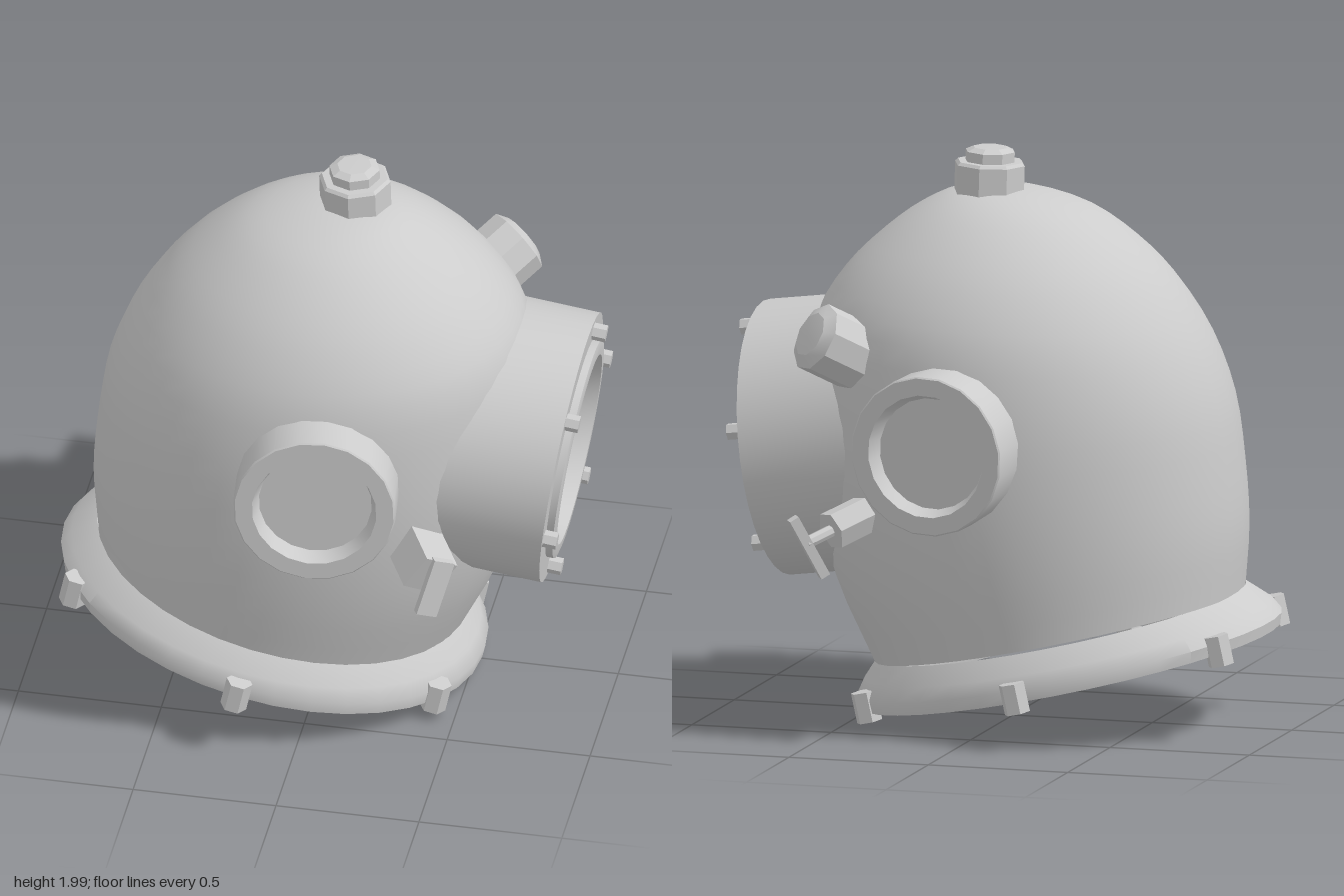
import * as THREE from 'three';
import { toCreasedNormals } from 'three/addons/utils/BufferGeometryUtils.js';

const metal = new THREE.MeshStandardMaterial({ color: 0xcccccc, side: THREE.DoubleSide });
metal.name = 'grey metal';

const UP = new THREE.Vector3(0, 1, 0);
const v3 = (x, y, z) => new THREE.Vector3(x, y, z);

function addMesh(parent, name, geometry, crease = 0.6) {
  const mesh = new THREE.Mesh(toCreasedNormals(geometry, crease), metal);
  mesh.name = name;
  parent.add(mesh);
  return mesh;
}

// Group whose local +y points along a given axis
function axisGroup(parent, name, pos, axis) {
  const g = new THREE.Group();
  g.name = name;
  g.position.copy(pos);
  g.quaternion.setFromUnitVectors(UP, axis.clone().normalize());
  parent.add(g);
  return g;
}

const lathe = (pts, n) => new THREE.LatheGeometry(pts.map(p => new THREE.Vector2(...p)), n);

// Section: [left x, left y, right x, right y, half depth]
function sectionPoint([xl, yl, xr, yr, w], t) {
  const c = Math.cos(t), z = w * Math.sin(t);
  return v3((xl + xr) / 2 + c * (xr - xl) / 2, (yl + yr) / 2 + c * (yr - yl) / 2, z);
}

// Skin through elliptical sections
function loft(sections, n) {
  const pos = [], index = [];
  for (const s of sections)
    for (let i = 0; i < n; i++) pos.push(...sectionPoint(s, (i / n) * Math.PI * 2).toArray());
  for (let j = 0; j < sections.length - 1; j++)
    for (let i = 0; i < n; i++) {
      const a = j * n + i, b = j * n + (i + 1) % n;
      index.push(a, a + n, b, b, a + n, b + n);
    }
  const g = new THREE.BufferGeometry();
  g.setAttribute('position', new THREE.Float32BufferAttribute(pos, 3));
  g.setIndex(index);
  return g;
}

// Smooth in-between sections
function refine(sections, steps) {
  const a = new THREE.CatmullRomCurve3(sections.map(s => v3(s[0], s[1], s[4])), false, 'centripetal');
  const b = new THREE.CatmullRomCurve3(sections.map(s => v3(s[2], s[3], 0)), false, 'centripetal');
  return Array.from({ length: steps + 1 }, (_, i) => {
    const p = a.getPoint(i / steps), q = b.getPoint(i / steps);
    return [p.x, p.y, q.x, q.y, p.z];
  });
}

export function createModel() {
  const model = new THREE.Group();
  model.name = 'divingHelmet';

  // Dome shell, leaning forward at the neck
  const dome = [
    [-0.81, 0.48, 0.47, 0.20, 0.59],
    [-0.825, 0.70, 0.61, 0.50, 0.63],
    [-0.81, 0.92, 0.68, 0.80, 0.65],
    [-0.775, 1.15, 0.70, 1.12, 0.645],
    [-0.695, 1.36, 0.68, 1.40, 0.605],
    [-0.57, 1.55, 0.58, 1.57, 0.515],
    [-0.44, 1.68, 0.45, 1.70, 0.405],
    [-0.29, 1.785, 0.32, 1.795, 0.28],
    [-0.11, 1.845, 0.20, 1.85, 0.145],
    [0.06, 1.865, 0.0601, 1.865, 0.0001],
  ];
  addMesh(model, 'dome', loft(refine(dome, 27), 40), 1.2);

  // Flared collar around the neck opening, rolled slightly sideways
  const collar = [
    [-0.79, 0.47, 0.45, 0.20, 0.56],
    [-0.83, 0.335, 0.45, 0.06, 0.57],
    [-0.93, 0.355, 0.53, 0.04, 0.655],
    [-0.935, 0.395, 0.54, 0.085, 0.66],
    [-0.90, 0.435, 0.515, 0.14, 0.64],
    [-0.81, 0.49, 0.47, 0.21, 0.585],
  ];
  const neck = new THREE.Group();
  neck.name = 'collarAssembly';
  neck.rotation.x = -0.035;
  neck.position.z = 0.03;
  model.add(neck);
  addMesh(neck, 'collar', loft(collar, 36), 0.7);
  const collarAxis = v3(0.207, 0.978, 0);
  for (let i = 0; i < 6; i++) {
    const t = Math.PI / 6 + (i * Math.PI) / 3;
    const p = sectionPoint([-0.93, 0.37, 0.53, 0.065, 0.665], t);
    const g = axisGroup(neck, 'collarBolt', p, collarAxis);
    addMesh(g, 'boltHead', new THREE.CylinderGeometry(0.046, 0.046, 0.105, 6).rotateY(-t), 0.3);
  }

  // Large front port: drum, raised rim, recessed pane
  const front = axisGroup(model, 'frontPort', v3(0.835, 0.94, 0), v3(0.992, -0.127, 0));
  addMesh(front, 'frontPortDrum', lathe([
    [0.475, -0.41], [0.475, 0], [0.385, 0], [0.385, 0.025], [0.365, 0.03],
    [0.335, 0.03], [0.325, -0.03], [0, -0.03]], 36), 0.5);
  for (let i = 0; i < 6; i++) {
    const a = -0.22 + (i * Math.PI) / 3;
    const bolt = addMesh(front, 'frontPortBolt', new THREE.CylinderGeometry(0.03, 0.03, 0.05, 6), 0.3);
    bolt.position.set(-0.43 * Math.sin(a), 0.022, 0.43 * Math.cos(a));
  }

  // Round port on each side
  for (const s of [1, -1]) {
    const side = axisGroup(model, s > 0 ? 'leftPort' : 'rightPort',
      v3(0.085, 1.065 + 0.025 * s, 0.755 * s), v3(0.12, 0.035 * s, s));
    addMesh(side, 'sidePortDrum', lathe([
      [0.28, -0.29], [0.28, -0.005], [0.275, 0], [0.215, 0],
      [0.195, -0.055], [0, -0.055]], 20), 0.5);
  }

  // Crown fitting
  const crown = axisGroup(model, 'crownFitting', v3(0.073, 1.9, -0.035), v3(-0.03, 1, 0));
  addMesh(crown, 'crownNut', lathe([
    [0.125, -0.06], [0.125, 0.04], [0.115, 0.05], [0.088, 0.05],
    [0.088, 0.085], [0.06, 0.098], [0, 0.1]], 8), 0.3);

  // Exhaust valve at the upper right
  const valve = axisGroup(model, 'exhaustValve', v3(0.5, 1.365, -0.495), v3(0.58, 0.42, -0.58));
  addMesh(valve, 'valveCap', lathe([
    [0.122, -0.11], [0.122, 0.07], [0.08, 0.095], [0, 0.105]], 9), 0.4);

  // Left tap: square body with a flat lever
  const leftTap = axisGroup(model, 'leftTap', v3(0.425, 0.8, 0.555), v3(0.5, -0.25, 0.8));
  addMesh(leftTap, 'leftTapBody', new THREE.BoxGeometry(0.14, 0.16, 0.14), 0.3);
  const lever = addMesh(model, 'leftTapLever', new THREE.BoxGeometry(0.075, 0.21, 0.03), 0.3);
  lever.position.set(0.485, 0.755, 0.65);
  lever.rotation.set(-0.1, 0.5, -0.3);

  // Right tap: faceted body, stem and cross bar
  const rightTap = axisGroup(model, 'rightTap', v3(0.42, 0.76, -0.55), v3(0.6, -0.3, -0.75));
  addMesh(rightTap, 'rightTapBody', new THREE.CylinderGeometry(0.07, 0.07, 0.16, 6), 0.3);
  const stem = addMesh(rightTap, 'rightTapStem', new THREE.CylinderGeometry(0.022, 0.022, 0.12, 8), 0.6);
  stem.position.y = 0.13;
  const handle = axisGroup(model, 'rightTapHandle', v3(0.525, 0.69, -0.685), v3(0.09, 0.21, -0.08));
  addMesh(handle, 'rightTapBar', new THREE.BoxGeometry(0.035, 0.24, 0.035).rotateY(0.6), 0.3);

  return model;
}
